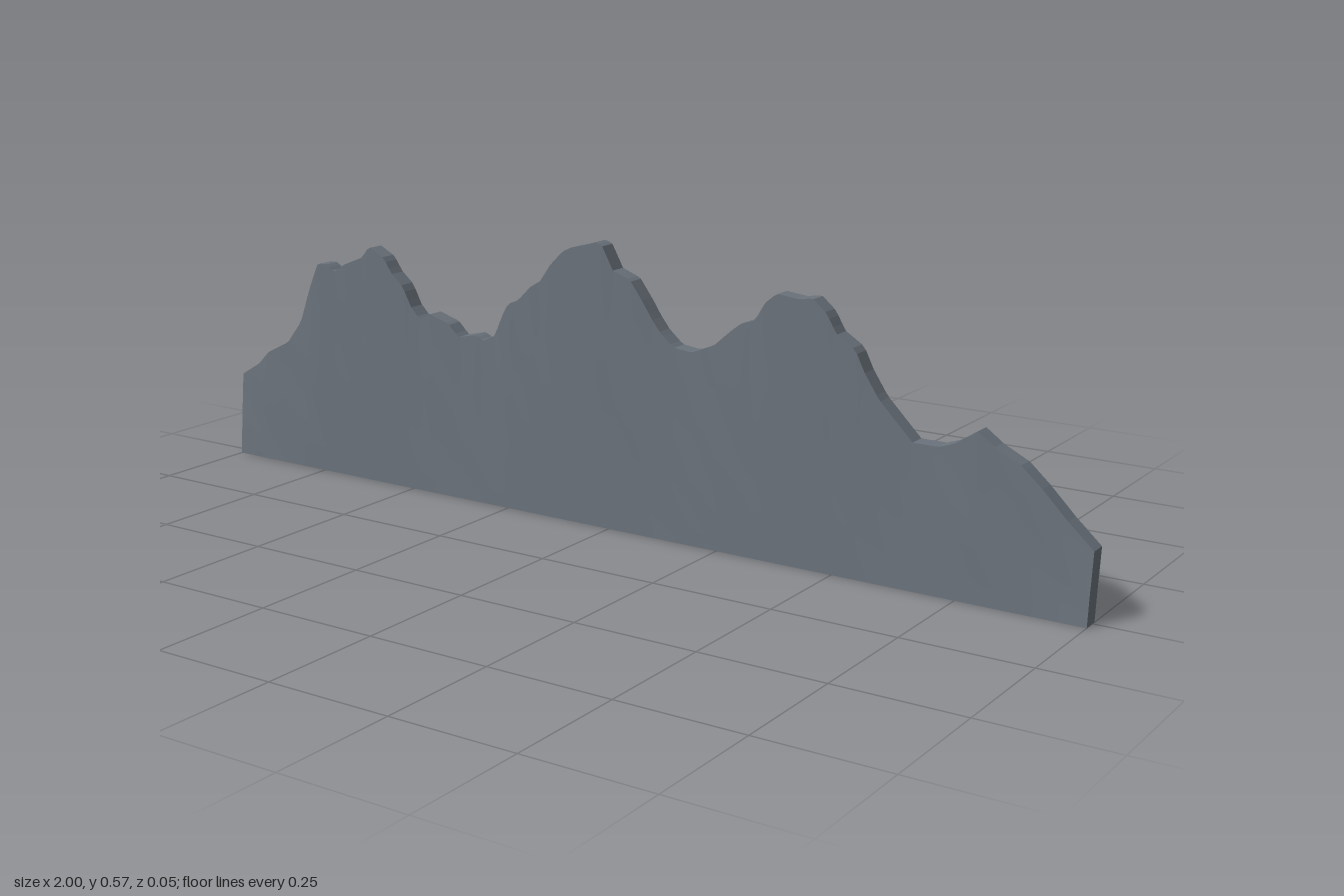
import * as THREE from 'three';

// Ridge line: x, height pairs
const RIDGE = [
  -1, .18, -.95, .21, -.92, .24, -.86, .27, -.82, .32, -.79, .40, -.765, .455, -.74, .455,
  -.72, .44, -.69, .46, -.64, .48, -.62, .505, -.58, .485, -.56, .455, -.53, .43, -.51, .39,
  -.485, .365, -.46, .38, -.41, .365, -.385, .34, -.34, .35, -.32, .34, -.29, .355, -.27, .40,
  -.255, .425, -.23, .435, -.2, .465, -.175, .48, -.15, .515, -.12, .545, -.1, .555, -.06, .565,
  -.04, .572, -.025, .565, 0, .52, .04, .505, .07, .465, .09, .435, .11, .41, .14, .385,
  .18, .38, .23, .40, .27, .435, .29, .45, .32, .46, .34, .495, .365, .515, .41, .51,
  .44, .515, .47, .49, .49, .455, .53, .43, .55, .39, .58, .345, .61, .315, .65, .275,
  .70, .275, .73, .285, .775, .315, .81, .29, .86, .265, .9, .23, .95, .18, 1, .135,
];
const NX = 240, NY = 24, THICK = 0.0355;

function ridgeHeight(x) {
  let i = 0;
  while (i < RIDGE.length - 4 && x > RIDGE[i + 2]) i += 2;
  const k = (x - RIDGE[i]) / (RIDGE[i + 2] - RIDGE[i]);
  return THREE.MathUtils.lerp(RIDGE[i + 1], RIDGE[i + 3], k);
}

// Point on the leaning sheet: u along the width, t from foot to ridge
function sheetPoint(u, t, offset) {
  const x = u * 2 - 1;
  const y = ridgeHeight(x) * t;
  const s = x + 0.75 * y - 0.4 * y * y; // slanted rock folds
  const fold = Math.sin(s * 38) + 0.6 * Math.sin(s * 67 + 1.3) + 0.5 * Math.sin(s * 23 + y * 9);
  return [x, y, 0.027 - 0.0155 * t + 0.0006 * fold * Math.sin(Math.PI * t) - offset];
}

// Smooth grid through point(u, v); flip reverses the facing
function surface(point, nu, nv, flip) {
  const pos = [], index = [];
  for (let j = 0; j <= nv; j++)
    for (let i = 0; i <= nu; i++) pos.push(...point(i / nu, j / nv));
  for (let j = 0; j < nv; j++)
    for (let i = 0; i < nu; i++) {
      const a = j * (nu + 1) + i, b = a + 1, c = a + nu + 1, d = c + 1;
      if (flip) index.push(a, d, b, a, c, d);
      else index.push(a, b, d, a, d, c);
    }
  const g = new THREE.BufferGeometry();
  g.setAttribute('position', new THREE.Float32BufferAttribute(pos, 3));
  g.setIndex(index);
  g.computeVertexNormals();
  return g;
}

// Same grid with hard facets
function facets(...args) {
  const g = surface(...args).toNonIndexed();
  g.computeVertexNormals();
  return g;
}

export function createModel() {
  const group = new THREE.Group();
  group.name = 'mountainRidge';
  const rock = new THREE.MeshStandardMaterial({ color: 0x6b737c });
  rock.name = 'slate rock';
  const add = (name, geometry) => {
    const mesh = new THREE.Mesh(geometry, rock);
    mesh.name = name;
    group.add(mesh);
  };

  // Broad rock faces
  add('frontFace', surface((u, v) => sheetPoint(u, v, 0), NX, NY, false));
  add('backFace', surface((u, v) => sheetPoint(u, v, THICK), NX, NY, true));

  // Rim closing the slab
  add('ridgeEdge', facets((u, v) => sheetPoint(u, 1, v * THICK), NX, 1, false));
  add('baseEdge', facets((u, v) => sheetPoint(u, 0, v * THICK), NX, 1, true));
  add('leftEnd', facets((u, v) => sheetPoint(1, v, u * THICK), 1, NY, false));
  add('rightEnd', facets((u, v) => sheetPoint(0, v, u * THICK), 1, NY, true));

  return group;
}
